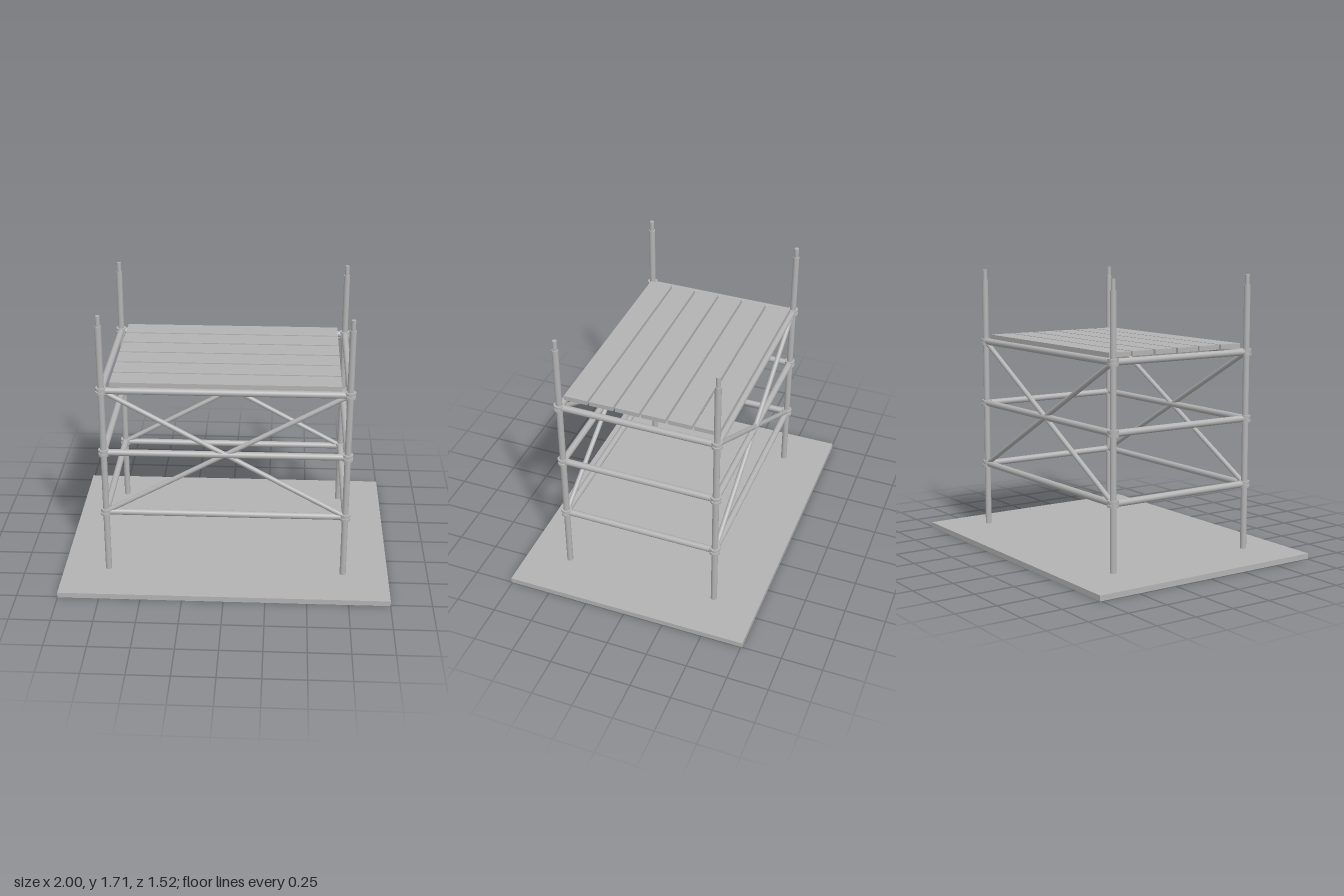
import * as THREE from 'three';

export function createModel() {
  const model = new THREE.Group();
  model.name = 'scaffold';
  const grey = new THREE.MeshStandardMaterial({ color: 0xb3b3b3 });
  grey.name = 'grey';

  const add = (name, geometry, x = 0, y = 0, z = 0) => {
    const mesh = new THREE.Mesh(geometry, grey);
    mesh.name = name;
    mesh.position.set(x, y, z);
    model.add(mesh);
    return mesh;
  };

  // Straight round tube between two points
  const tube = (name, from, to, radius) => {
    const a = new THREE.Vector3(...from), b = new THREE.Vector3(...to);
    const dir = b.clone().sub(a);
    const mesh = add(name, new THREE.CylinderGeometry(radius, radius, dir.length(), 24));
    mesh.position.copy(a).add(b).multiplyScalar(0.5);
    mesh.quaternion.setFromUnitVectors(new THREE.Vector3(0, 1, 0), dir.normalize());
  };

  const X = 0.722, Z = 0.481;
  const levels = [0.447, 0.847, 1.247];

  // Ground slab
  add('groundSlab', new THREE.BoxGeometry(2, 0.033, 1.516), 0, 0.0165, 0);

  for (const sx of [-1, 1]) for (const sz of [-1, 1]) {
    const x = sx * X, z = sz * Z;
    // Upright with a thinner spigot on top
    tube('upright', [x, 0.047, z], [x, 1.645, z], 0.019);
    tube('spigot', [x, 1.64, z], [x, 1.707, z], 0.0135);
    // Coupler at each level: two flanges on a narrow collar
    for (const y of levels) {
      add('couplerCollar', new THREE.CylinderGeometry(0.024, 0.024, 0.02, 24), x, y, z);
      for (const s of [-1, 1]) {
        add('couplerFlange', new THREE.CylinderGeometry(0.032, 0.032, 0.015, 24), x, y + s * 0.0125, z);
      }
    }
  }

  // Horizontal rails on all four sides
  for (const y of levels) for (const s of [-1, 1]) {
    tube('longRail', [-X, y, s * Z], [X, y, s * Z], 0.02);
    tube('shortRail', [s * X, y, -Z], [s * X, y, Z], 0.02);
  }

  // Crossed braces on the front and back
  for (const sz of [-1, 1]) for (const sx of [-1, 1]) {
    tube('diagonalBrace', [-sx * X, levels[0], sz * Z], [sx * X, levels[2], sz * Z], 0.015);
  }

  // Deck planks
  for (let i = 0; i < 6; i++) {
    add('deckPlank', new THREE.BoxGeometry(1.344, 0.028, 0.147), 0, 1.281, (i - 2.5) * 0.16);
  }

  return model;
}
